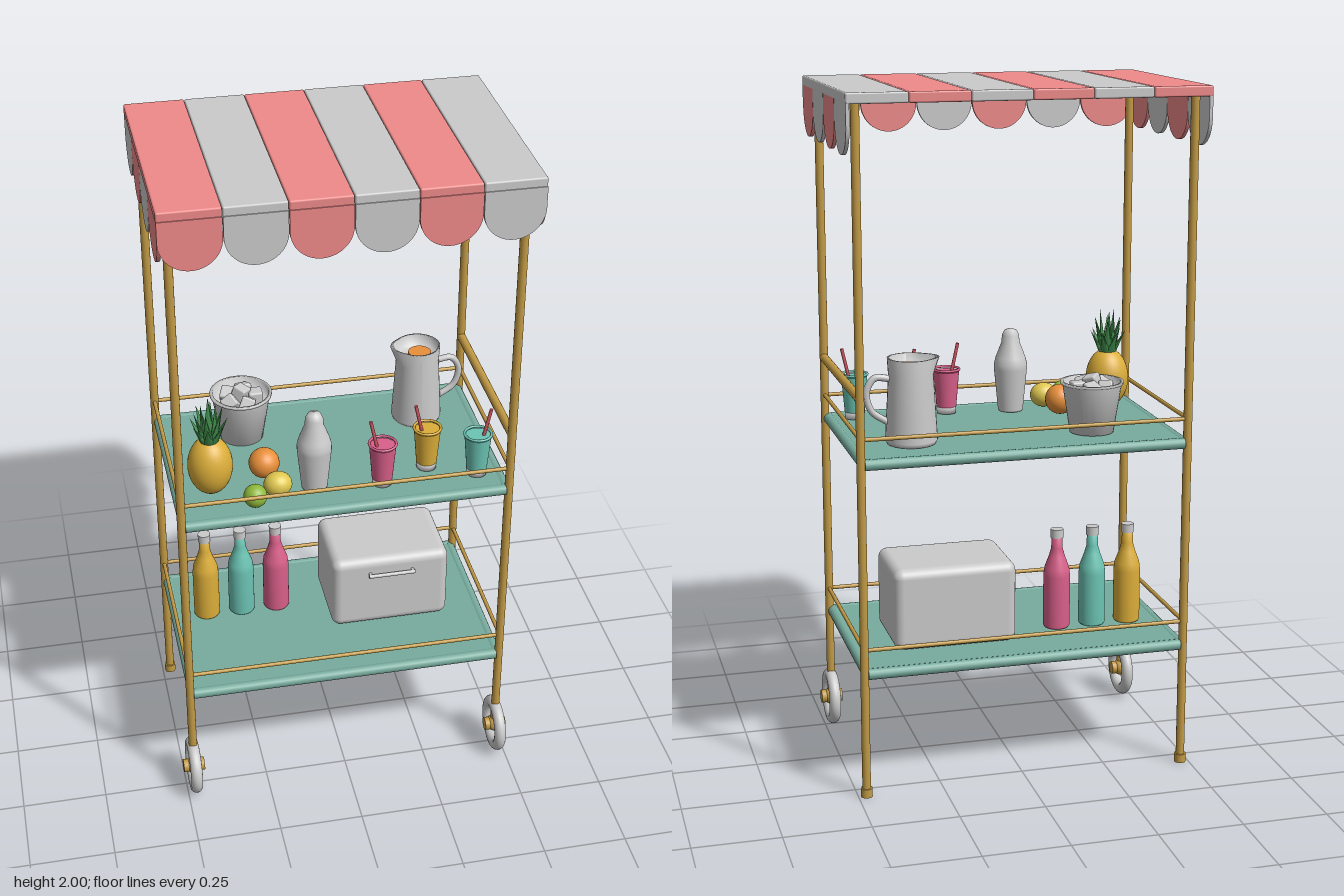
import * as THREE from 'three';
import { RoundedBoxGeometry } from 'three/addons/geometries/RoundedBoxGeometry.js';

const mat = (color) => new THREE.MeshStandardMaterial({ color });
const grey = mat(0xcccccc), brass = mat(0xc29a45), shelfTeal = mat(0x78ac9e), red = mat(0xf08a8a);
const yellow = mat(0xdcae3a), teal = mat(0x6cc4b4), pink = mat(0xd9608a), orange = mat(0xe8903a);
const lime = mat(0x8fb83c), lemon = mat(0xe0c850), leaf = mat(0x3f8a4a), straw = mat(0xd05560);
const greyOpen = mat(0xcccccc);
greyOpen.side = THREE.DoubleSide;

const V = (x, y, z) => new THREE.Vector3(x, y, z);

function add(parent, name, geometry, material, x = 0, y = 0, z = 0) {
  const mesh = new THREE.Mesh(geometry, material);
  mesh.name = name;
  mesh.position.set(x, y, z);
  parent.add(mesh);
  return mesh;
}

function group(parent, name, x, y, z) {
  const g = new THREE.Group();
  g.name = name;
  g.position.set(x, y, z);
  parent.add(g);
  return g;
}

// Round bar between two points
function bar(parent, name, a, b, r, material) {
  const d = b.clone().sub(a);
  const mesh = add(parent, name, new THREE.CylinderGeometry(r, r, d.length(), 16), material);
  mesh.position.copy(a).add(b).multiplyScalar(0.5);
  mesh.quaternion.setFromUnitVectors(V(0, 1, 0), d.normalize());
  return mesh;
}

const lathe = (pts) => new THREE.LatheGeometry(pts.map(([r, y]) => new THREE.Vector2(r, y)), 32);

const PX = 0.476, ZF = 0.265, ZB = -0.3, ZM = (ZF + ZB) / 2;

// Posts, wheels at the front, feet at the back
function buildFrame(cart) {
  for (const s of [-1, 1]) {
    bar(cart, 'frontPost', V(s * PX, 0.09, ZF), V(s * PX, 1.975, ZF), 0.0125, brass);
    bar(cart, 'backPost', V(s * PX, 0, ZB), V(s * PX, 1.975, ZB), 0.0125, brass);
    add(cart, 'foot', new THREE.CylinderGeometry(0.017, 0.017, 0.026, 20), brass, s * PX, 0.013, ZB);
    const wheel = group(cart, 'wheel', s * PX, 0.088, ZF);
    const tyre = add(wheel, 'tyre', new THREE.TorusGeometry(0.069, 0.018, 16, 40), grey);
    tyre.rotation.y = Math.PI / 2;
    bar(wheel, 'axle', V(-0.032, 0, 0), V(0.032, 0, 0), 0.02, brass);
    add(wheel, 'hub', new THREE.SphereGeometry(0.026, 20, 14), brass);
  }
  bar(cart, 'pushHandle', V(PX, 1.17, ZF), V(PX, 1.17, ZB), 0.013, brass);
}

// Tray with rounded edges and a guard rail on all four sides
function buildShelf(cart, name, top) {
  const g = group(cart, name, 0, top, 0);
  add(g, 'tray', new THREE.BoxGeometry(0.925, 0.024, 0.555), shelfTeal, 0, -0.014, ZM);
  const loop = (label, x, y, r, material) => {
    for (const z of [ZF, ZB]) bar(g, label, V(-x, y, z), V(x, y, z), r, material);
    for (const s of [-1, 1]) bar(g, label, V(s * x, y, ZB), V(s * x, y, ZF), r, material);
  };
  loop('trayEdge', 0.466, -0.015, 0.016, shelfTeal);
  loop('guardRail', PX, 0.057, 0.006, brass);
}

// Striped canopy with scallops on the front and both sides
function buildCanopy(cart) {
  const g = group(cart, 'canopy', 0, 0, 0);
  const w = 0.17, d = 0.683, zc = -0.0085;
  const scallop = (width) => {
    const r = width / 2 - 0.001;
    const s = new THREE.Shape();
    s.moveTo(-r, 1.975);
    s.lineTo(-r, 1.915);
    s.absarc(0, 1.915, r, Math.PI, Math.PI * 2, false);
    s.lineTo(r, 1.975);
    return new THREE.ExtrudeGeometry(s, { depth: 0.01, bevelEnabled: false, curveSegments: 20 });
  };
  for (let i = 0; i < 6; i++) {
    const x = -0.425 + i * w, m = i % 2 ? grey : red;
    add(g, 'stripe', new RoundedBoxGeometry(w - 0.001, 0.03, d, 2, 0.005), m, x, 1.985, zc);
    add(g, 'frontScallop', scallop(w), m, x, 0, 0.326);
  }
  for (const s of [-1, 1]) for (let i = 0; i < 4; i++) {
    const z = zc + d / 2 - (i + 0.5) * d / 4;
    const side = add(g, 'sideScallop', scallop(d / 4), i % 2 ? grey : red, s * 0.499, 0, z);
    side.rotation.y = s * Math.PI / 2;
  }
}

function buildPineapple(cart) {
  const g = group(cart, 'pineapple', -0.37, 1, 0.125);
  add(g, 'body', new THREE.SphereGeometry(0.065, 28, 20), yellow, 0, 0.09, 0).scale.y = 1.4;
  // Three rings of leaves, steeper towards the tip
  for (const [n, tilt, len, y] of [[7, 0.5, 0.085, 0.165], [6, 0.28, 0.11, 0.17], [3, 0.08, 0.13, 0.17]]) {
    const geo = new THREE.ConeGeometry(0.018, len, 8).translate(0, len / 2, 0).scale(1, 1, 0.5);
    geo.rotateX(tilt).translate(0, 0, 0.014);
    for (let i = 0; i < n; i++) add(g, 'leaf', geo, leaf, 0, y, 0).rotation.y = (i / n) * Math.PI * 2 + n;
  }
}

function buildDrink(cart, x, z, color, lean) {
  const g = group(cart, 'drink', x, 0.998, z);
  add(g, 'glass', lathe([[0, 0], [0.029, 0], [0.03, 0.022], [0, 0.022]]), grey);
  add(g, 'liquid', new THREE.CylinderGeometry(0.039, 0.03, 0.108, 28), color, 0, 0.074, 0);
  const rim = add(g, 'rim', new THREE.TorusGeometry(0.039, 0.004, 8, 32), color, 0, 0.134, 0);
  rim.rotation.x = Math.PI / 2;
  bar(g, 'straw', V(0, 0.05, 0), V(lean * 0.036, 0.212, 0), 0.005, straw);
}

function buildJug(cart) {
  const g = group(cart, 'jug', 0.3, 0.998, -0.148);
  const body = lathe([[0, 0], [0.07, 0], [0.075, 0.012], [0.064, 0.2], [0.067, 0.248], [0.061, 0.248], [0.058, 0.215], [0, 0.215]]);
  // Pull the rim out into a spout
  const p = body.attributes.position;
  for (let i = 0; i < p.count; i++) {
    const x = p.getX(i), y = p.getY(i);
    if (y > 0.24 && x < -0.045) p.setX(i, x - (-x - 0.045) * 0.7);
  }
  body.computeVertexNormals();
  add(g, 'body', body, greyOpen);
  add(g, 'citrusSlice', new THREE.CylinderGeometry(0.034, 0.034, 0.012, 24), orange, 0.005, 0.222, 0.005);
  const path = new THREE.CatmullRomCurve3([V(0.06, 0.19, 0), V(0.105, 0.193, 0), V(0.128, 0.155, 0), V(0.115, 0.1, 0), V(0.068, 0.065, 0)]);
  add(g, 'handle', new THREE.TubeGeometry(path, 28, 0.01, 10), grey);
}

function buildIceBucket(cart) {
  const g = group(cart, 'iceBucket', -0.235, 0.998, -0.15);
  add(g, 'pail', lathe([[0, 0], [0.064, 0], [0.086, 0.14], [0.092, 0.143], [0.092, 0.15], [0.083, 0.15], [0.078, 0.115], [0, 0.115]]), greyOpen);
  const ice = new RoundedBoxGeometry(0.042, 0.042, 0.042, 2, 0.006);
  for (let i = 0; i < 6; i++) {
    const a = i * 1.257, r = i < 5 ? 0.043 : 0;
    const cube = add(g, 'iceCube', ice, grey, Math.cos(a) * r, i < 5 ? 0.13 : 0.147, Math.sin(a) * r);
    cube.rotation.set(i * 0.7, i * 1.1, i * 0.4);
  }
}

function buildBottle(cart, x, color) {
  const g = group(cart, 'bottle', x, 0.386, -0.092);
  add(g, 'glass', lathe([[0, 0], [0.036, 0], [0.04, 0.006], [0.04, 0.16], [0.037, 0.185], [0.024, 0.22], [0.017, 0.245], [0.016, 0.285], [0, 0.285]]), color);
  add(g, 'cap', new THREE.CylinderGeometry(0.019, 0.019, 0.026, 20), grey, 0, 0.291, 0);
}

function buildCooler(cart) {
  const g = group(cart, 'cooler', 0.182, 0.386, -0.065);
  add(g, 'box', new RoundedBoxGeometry(0.364, 0.244, 0.262, 5, 0.028), grey, 0, 0.122, 0);
  bar(g, 'handle', V(-0.072, 0.194, 0.145), V(0.072, 0.194, 0.145), 0.006, grey);
  for (const s of [-1, 1]) bar(g, 'handleMount', V(s * 0.066, 0.194, 0.12), V(s * 0.066, 0.194, 0.147), 0.005, grey);
}

export function createModel() {
  const cart = new THREE.Group();
  cart.name = 'drinksCart';
  buildFrame(cart);
  buildShelf(cart, 'upperShelf', 0.998);
  buildShelf(cart, 'lowerShelf', 0.386);
  buildCanopy(cart);

  // Upper shelf
  buildPineapple(cart);
  buildIceBucket(cart);
  buildJug(cart);
  add(cart, 'lime', new THREE.SphereGeometry(0.034, 24, 16), lime, -0.257, 1.031, 0.22);
  add(cart, 'lemon', new THREE.SphereGeometry(0.037, 24, 16), lemon, -0.185, 1.035, 0.18).scale.x = 1.12;
  add(cart, 'orange', new THREE.SphereGeometry(0.045, 24, 16), orange, -0.207, 1.043, 0.078);
  const shaker = lathe([[0, 0], [0.036, 0], [0.038, 0.006], [0.05, 0.13], [0.05, 0.145], [0.045, 0.165], [0.027, 0.212], [0.026, 0.232], [0.018, 0.248], [0, 0.254]]);
  add(cart, 'shaker', shaker, grey, -0.075, 0.998, 0.16);
  buildDrink(cart, 0.12, 0.18, pink, -1);
  buildDrink(cart, 0.265, 0.125, yellow, -1);
  buildDrink(cart, 0.4, 0.185, teal, 1);

  // Lower shelf
  [yellow, teal, pink].forEach((color, i) => buildBottle(cart, -0.37 + i * 0.11, color));
  buildCooler(cart);
  return cart;
}
